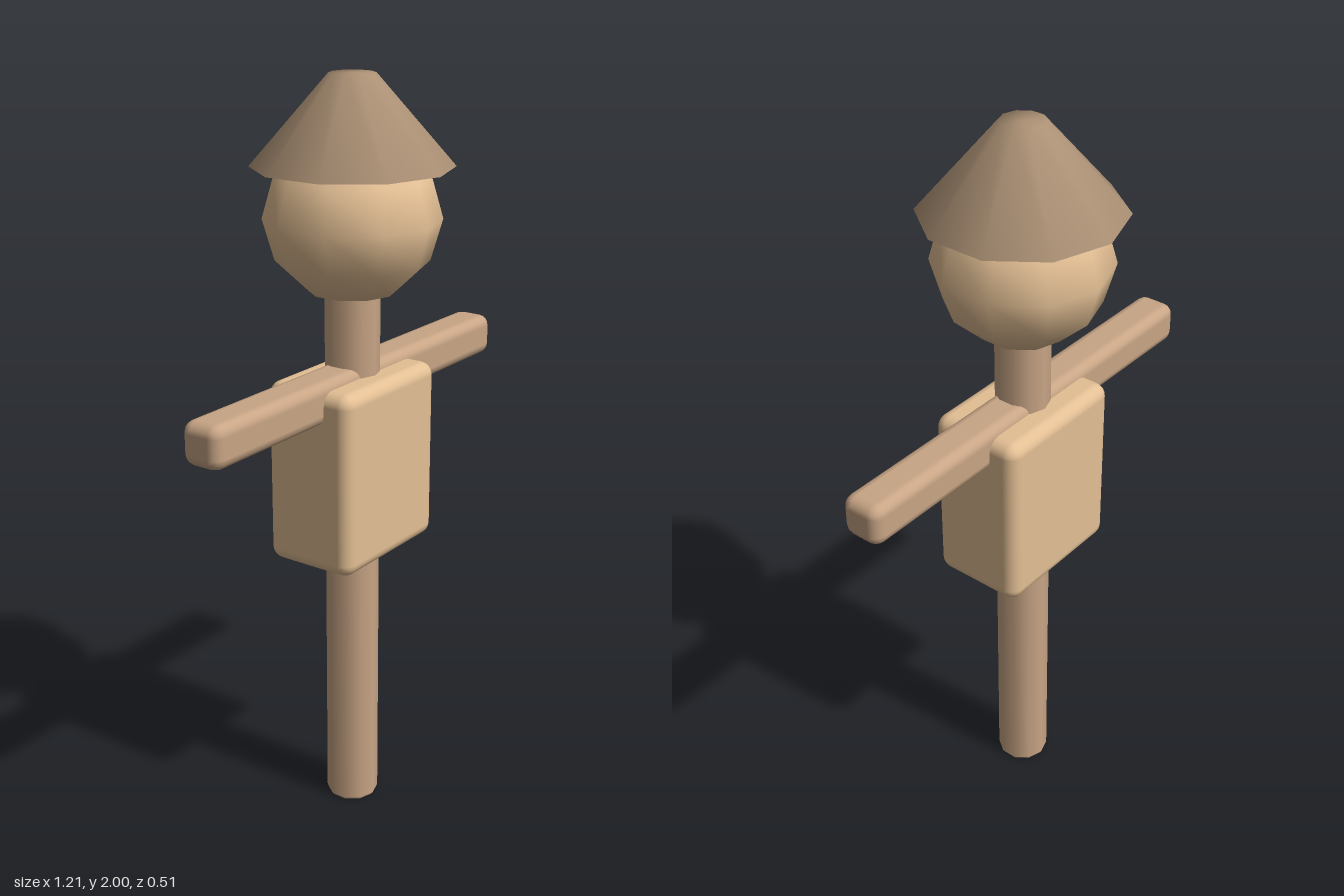
import * as THREE from 'three';
import { RoundedBoxGeometry } from 'three/addons/geometries/RoundedBoxGeometry.js';

const SIDES = 10;
const straw = new THREE.MeshStandardMaterial({ color: 0xe3bf94 });
const wood = new THREE.MeshStandardMaterial({ color: 0xc8a585 });
const felt = new THREE.MeshStandardMaterial({ color: 0xab9074 });

export function createModel() {
  const group = new THREE.Group();

  const add = (name, geometry, material, y = 0) => {
    const mesh = new THREE.Mesh(geometry, material);
    mesh.name = name;
    mesh.position.y = y;
    group.add(mesh);
    return mesh;
  };

  // Ten-sided turned part, profile from bottom to top as [radius, height]
  const turned = (profile) =>
    new THREE.LatheGeometry(profile.map(([r, y]) => new THREE.Vector2(r, y)), SIDES);

  // Upright post, which also forms the neck
  add('post', turned([[0, 0], [0.066, 0], [0.071, 0.008], [0.071, 1.48]]), wood);

  // Crossbar for the arms
  add('crossbar', new RoundedBoxGeometry(1.21, 0.112, 0.112, 2, 0.03), wood, 1.219);

  // Padded torso
  add('torso', new RoundedBoxGeometry(0.4, 0.49, 0.26, 3, 0.035), straw, 1.005);

  // Faceted ball head with smooth shading, a corner facing front
  const headShape = new THREE.SphereGeometry(0.226, SIDES, 6);
  headShape.rotateY(Math.PI / 2);
  add('head', headShape, straw, 1.645).scale.y = 0.93;

  // Conical hat with a blunt tip, closed beneath around the head
  add('hat', turned([[0.17, 1.785], [0.256, 1.775], [0.058, 2], [0, 2]]), felt);

  return group;
}
